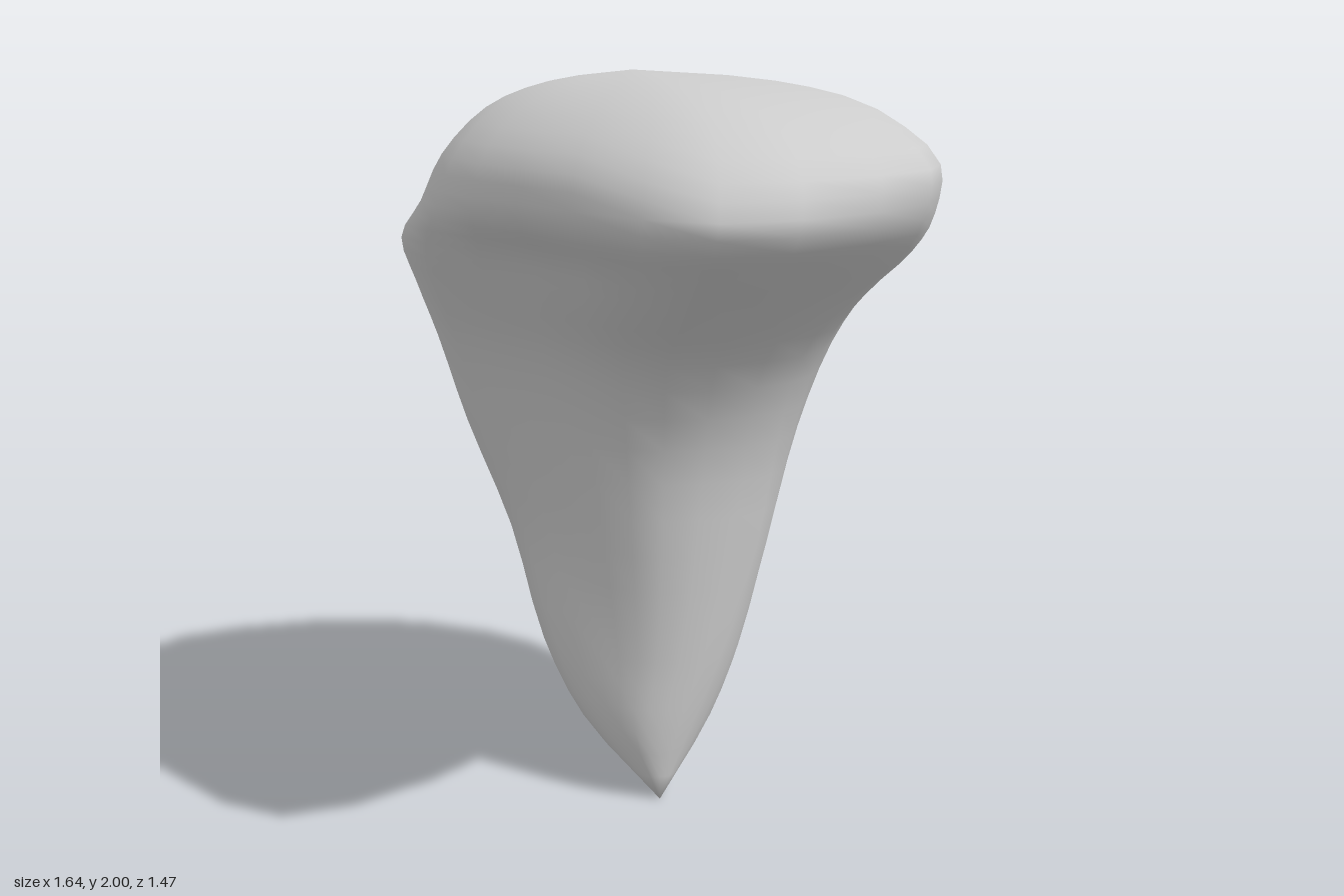
import * as THREE from 'three';
import { mergeVertices } from 'three/addons/utils/BufferGeometryUtils.js';

const AROUND = 24, STEPS = 3;

// Horizontal sections: height, centre x, centre z, then eight radii
// every 45 degrees, turning from +x towards +z.
const sections = [
  [0.00, 0.00, 0.17, 0, 0, 0, 0, 0, 0, 0, 0],
  [0.20, -0.12, 0.10, 0.17, 0.15, 0.14, 0.18, 0.24, 0.25, 0.19, 0.18],
  [0.40, -0.16, 0.02, 0.25, 0.23, 0.22, 0.32, 0.35, 0.39, 0.28, 0.24],
  [0.70, -0.24, -0.08, 0.37, 0.36, 0.32, 0.43, 0.46, 0.52, 0.41, 0.31],
  [1.00, -0.27, -0.12, 0.44, 0.43, 0.41, 0.56, 0.53, 0.55, 0.51, 0.39],
  [1.25, -0.24, -0.10, 0.51, 0.52, 0.46, 0.64, 0.58, 0.59, 0.60, 0.48],
  [1.42, -0.15, -0.07, 0.60, 0.72, 0.53, 0.73, 0.67, 0.67, 0.65, 0.52],
  [1.55, -0.06, -0.03, 0.70, 0.88, 0.58, 0.79, 0.77, 0.74, 0.68, 0.56],
  [1.66, 0.04, 0.03, 0.72, 0.935, 0.66, 0.75, 0.87, 0.80, 0.72, 0.565],
  [1.78, 0.04, 0.02, 0.73, 0.88, 0.66, 0.70, 0.79, 0.66, 0.66, 0.55],
  [1.90, 0.00, 0.00, 0.56, 0.71, 0.55, 0.57, 0.57, 0.46, 0.46, 0.44],
  [1.97, 0.00, 0.10, 0.29, 0.36, 0.29, 0.33, 0.32, 0.24, 0.24, 0.26],
  [2.00, -0.06, 0.20, 0, 0, 0, 0, 0, 0, 0, 0],
];

// Smooth closed ring through the eight points of a section
function ring([y, cx, cz, ...radii]) {
  const points = radii.map((r, i) => new THREE.Vector3(
    cx + r * Math.cos(i * Math.PI / 4), y, cz + r * Math.sin(i * Math.PI / 4)));
  if (radii[0] === 0) return Array.from({ length: AROUND }, () => points[0].clone());
  return new THREE.CatmullRomCurve3(points, true).getPoints(AROUND).slice(0, AROUND);
}

// Skin lofted through the rings, with a smooth curve up each column
function loft(rings) {
  const rows = (rings.length - 1) * STEPS;
  const positions = [], index = [];
  for (let i = 0; i < AROUND; i++) {
    const column = new THREE.CatmullRomCurve3(rings.map((r) => r[i]));
    for (const p of column.getPoints(rows)) positions.push(p.x, p.y, p.z);
  }
  for (let i = 0; i < AROUND; i++) {
    for (let j = 0; j < rows; j++) {
      const a = i * (rows + 1) + j;
      const b = ((i + 1) % AROUND) * (rows + 1) + j;
      if (j < rows - 1) index.push(a, a + 1, b + 1);
      if (j > 0) index.push(a, b + 1, b);
    }
  }
  const geometry = new THREE.BufferGeometry();
  geometry.setAttribute('position', new THREE.Float32BufferAttribute(positions, 3));
  geometry.setIndex(index);
  const merged = mergeVertices(geometry, 1e-5);
  merged.computeVertexNormals();
  return merged;
}

export function createModel() {
  const group = new THREE.Group();
  group.name = 'curvedHorn';

  // Horn body: pointed foot, rounded back, head hooking forward
  const body = new THREE.Mesh(
    loft(sections.map(ring)),
    new THREE.MeshStandardMaterial({ color: 0xcccccc }));
  body.name = 'hornBody';
  group.add(body);
  return group;
}
